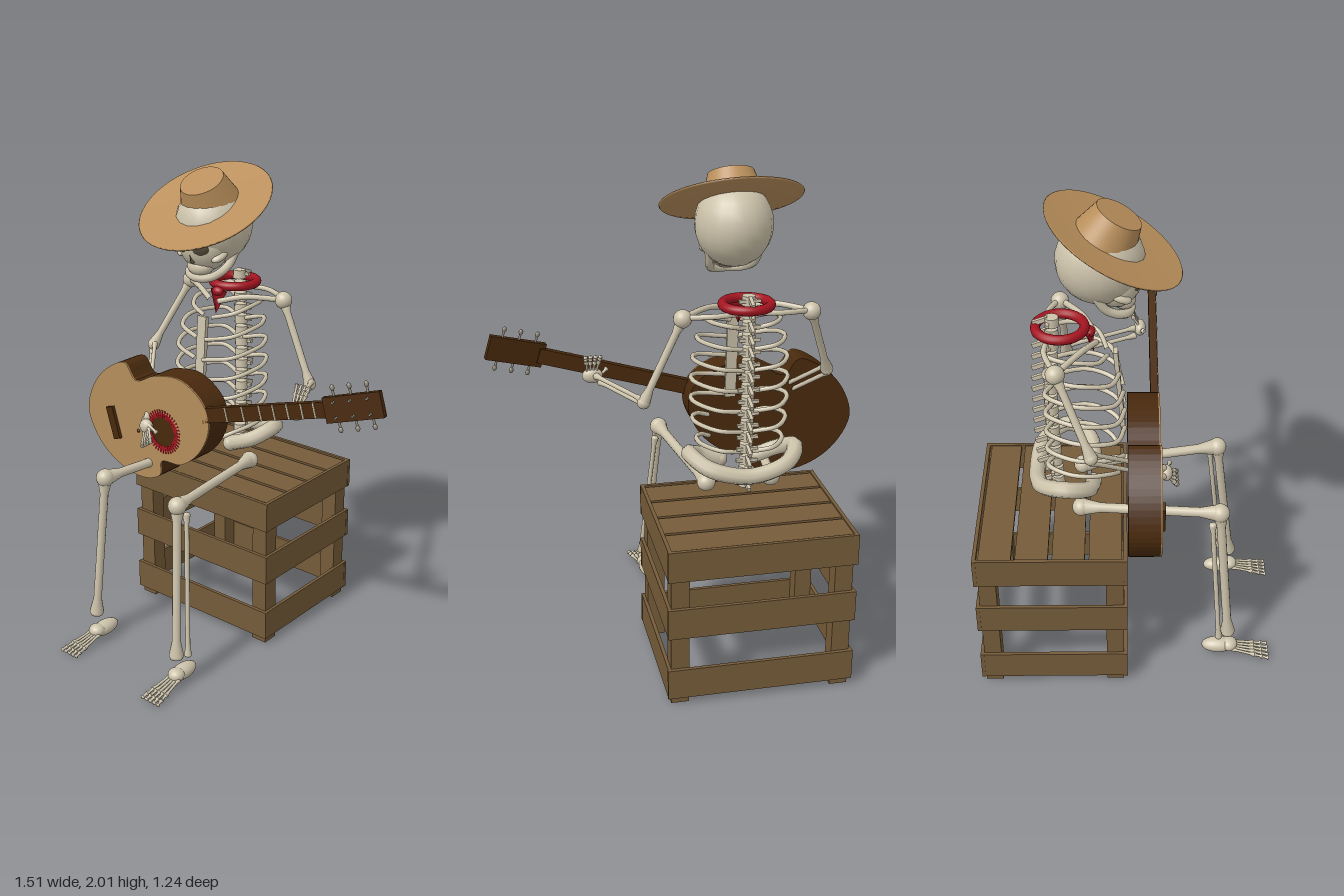
import * as THREE from 'three';

const mat = (name, color, opt = {}) => {
  const m = new THREE.MeshStandardMaterial({ color, ...opt });
  m.name = name;
  return m;
};
const V = (x, y, z) => new THREE.Vector3(x, y, z);
const CX = -0.235; // middle of the seated figure

export function createModel() {
  const bone = mat('bone', 0xcdc3ab), hollow = mat('hollow', 0x5e5340);
  const wood = mat('crateWood', 0x755b39);
  const straw = mat('straw', 0xb98f5b, { side: THREE.DoubleSide });
  const spruce = mat('guitarTop', 0xb58d5b), dark = mat('darkWood', 0x48290d);
  const red = mat('red', 0xa31420), metal = mat('metal', 0x8f887a);
  const root = new THREE.Group();
  root.name = 'guitarist';

  const group = (name, parent = root) => {
    const g = new THREE.Group();
    g.name = name;
    parent.add(g);
    return g;
  };
  const add = (parent, name, geo, m, pos = [0, 0, 0], rot = [0, 0, 0], scale = [1, 1, 1]) => {
    const o = new THREE.Mesh(geo, m);
    o.name = name;
    o.position.set(...pos);
    o.rotation.set(...rot);
    o.scale.set(...scale);
    parent.add(o);
    return o;
  };
  const box = (p, n, m, size, pos, rot) => add(p, n, new THREE.BoxGeometry(...size), m, pos, rot);
  const ball = (p, n, m, size, pos, rot) => add(p, n, new THREE.SphereGeometry(1, 20, 14), m, pos, rot, size);
  const tube = (p, n, m, pts, r, seg = 32) =>
    add(p, n, new THREE.TubeGeometry(new THREE.CatmullRomCurve3(pts), seg, r, 8), m);
  // Shaft with flared, rounded ends from a to b
  const shaft = (p, n, a, b, r, flare = 1.8) => {
    const A = V(...a), d = V(...b).sub(A), L = d.length(), f = Math.min(r * 4, L * 0.2);
    const prof = [[0.001, -r * flare * 0.5], [r * flare * 0.8, -r * 0.4], [r * flare, r * 0.4], [r, f],
      [r, L - f], [r * flare, L - r * 0.4], [r * flare * 0.8, L + r * 0.4], [0.001, L + r * flare * 0.5]];
    const o = add(p, n, new THREE.LatheGeometry(prof.map(q => new THREE.Vector2(...q)), 12), bone, a);
    o.quaternion.setFromUnitVectors(V(0, 1, 0), d.normalize());
    return o;
  };

  // Crate
  const crate = group('crate');
  crate.position.set(CX, 0, -0.32);
  for (const s of [-1, 1]) {
    for (const t of [-1, 1]) box(crate, 'post', wood, [0.072, 0.66, 0.07], [s * 0.325, 0.33, t * 0.252]);
    for (const y of [0.093, 0.363, 0.612]) {
      box(crate, 'longSlat', wood, [0.75, 0.128, 0.015], [0, y, s * 0.295]);
      box(crate, 'sideSlat', wood, [0.015, 0.128, 0.6], [s * 0.366, y, 0]);
    }
  }
  for (let i = 0; i < 4; i++) box(crate, 'topPlank', wood, [0.715, 0.018, 0.128], [0, 0.663, -0.216 + i * 0.144]);

  // Spine
  const torso = group('torso');
  for (let i = 0; i < 16; i++) {
    const y = 0.79 + i * 0.05, z = -0.295 - 0.015 * Math.sin((i / 15) * Math.PI);
    add(torso, 'vertebra', new THREE.CylinderGeometry(0.026, 0.028, 0.036, 12), bone, [CX, y, z]);
    box(torso, 'spinousProcess', bone, [0.014, 0.018, 0.06], [CX, y + 0.002, z - 0.042], [-0.35, 0, 0]);
    box(torso, 'transverseProcess', bone, [0.085, 0.012, 0.015], [CX, y, z - 0.015]);
  }
  // Ribs and breastbone
  for (let i = 0; i < 7; i++) {
    const y = 1.45 - i * 0.085, w = [0.14, 0.17, 0.185, 0.19, 0.19, 0.185, 0.17][i];
    const front = [-0.09, -0.045, -0.03, -0.025, -0.025, -0.03, -0.05][i], end = i > 4 ? 0.09 : 0.02;
    for (const s of [-1, 1]) {
      const zc = (front - 0.32) / 2;
      tube(torso, 'rib', bone, [V(CX + s * 0.015, y - 0.02, -0.305), V(CX + s * w * 0.6, y, -0.325),
        V(CX + s * w * 0.95, y, zc - 0.06), V(CX + s * w, y - 0.005, zc + 0.02),
        V(CX + s * w * 0.78, y - 0.025, front - 0.035), V(CX + s * end, y - 0.05, front)], 0.0095);
    }
  }
  box(torso, 'breastbone', bone, [0.045, 0.36, 0.018], [CX, 1.23, -0.045], [-0.08, 0, 0]);
  // Collarbones and shoulder blades
  for (const s of [-1, 1]) {
    tube(torso, 'collarbone', bone, [V(CX + s * 0.02, 1.46, -0.13), V(CX + s * 0.12, 1.485, -0.18),
      V(CX + s * 0.25, 1.478, -0.27)], 0.012);
    tube(torso, 'shoulderBar', bone, [V(CX + s * 0.02, 1.49, -0.3), V(CX + s * 0.13, 1.49, -0.32),
      V(CX + s * 0.25, 1.48, -0.28)], 0.011);
  }
  // Pelvis
  const hips = [[-0.07, 0.83, -0.15], [-0.17, 0.87, -0.17], [-0.215, 0.905, -0.25], [-0.15, 0.875, -0.35], [0, 0.845, -0.375],
    [0.15, 0.875, -0.35], [0.215, 0.905, -0.25], [0.17, 0.87, -0.17], [0.07, 0.83, -0.15]];
  tube(torso, 'pelvis', bone, hips.map(([x, y, z]) => V(CX + x, y, z)), 0.033, 64);
  for (const i of [0, 8]) ball(torso, 'pelvisEnd', bone, [0.033, 0.033, 0.033], [CX + hips[i][0], hips[i][1], hips[i][2]]);

  // Neckerchief
  const scarf = group('neckerchief');
  add(scarf, 'loop', new THREE.TorusGeometry(0.092, 0.019, 12, 36), red, [CX, 1.515, -0.265], [Math.PI / 2, 0, 0]);
  ball(scarf, 'knot', red, [0.028, 0.02, 0.022], [CX, 1.495, -0.155]);
  add(scarf, 'tail', new THREE.ConeGeometry(0.045, 0.1, 4), red, [CX, 1.45, -0.15], [Math.PI - 0.2, 0, 0], [1, 1, 0.4]);

  // Skull
  const head = group('skull');
  head.position.x = -0.218;
  ball(head, 'cranium', bone, [0.152, 0.165, 0.165], [0, 1.79, -0.112]);
  ball(head, 'face', bone, [0.108, 0.105, 0.085], [0, 1.71, -0.045], [0.4, 0, 0]);
  ball(head, 'upperJaw', bone, [0.062, 0.04, 0.05], [0, 1.635, -0.03], [0.4, 0, 0]);
  for (const s of [-1, 1]) {
    ball(head, 'eyeSocket', hollow, [0.034, 0.034, 0.014], [s * 0.048, 1.715, 0.026], [0.45, s * 0.4, 0]);
    ball(head, 'cheekbone', bone, [0.028, 0.018, 0.045], [s * 0.09, 1.685, -0.04], [0.4, 0, 0]);
  }
  add(head, 'noseHole', new THREE.ConeGeometry(0.018, 0.04, 3), hollow, [0, 1.672, 0.03], [0.45, 0, 0], [1, 1, 0.4]);
  tube(head, 'jaw', bone, [[-0.1, 1.69, -0.13], [-0.088, 1.63, -0.09], [-0.06, 1.595, -0.025], [0, 1.588, 0.0],
    [0.06, 1.595, -0.025], [0.088, 1.63, -0.09], [0.1, 1.69, -0.13]].map(p => V(...p)), 0.017);

  // Hat
  const hat = group('hat');
  hat.position.set(-0.22, 1.865, -0.065);
  hat.rotation.x = 0.495;
  const brim = [[0.08, -0.003], [0.2, -0.006], [0.277, 0.004], [0.281, 0.009], [0.277, 0.013], [0.2, 0.005], [0.08, 0.006]];
  add(hat, 'brim', new THREE.LatheGeometry(brim.map(p => new THREE.Vector2(...p)), 56), straw);
  add(hat, 'crown', new THREE.CylinderGeometry(0.09, 0.122, 0.105, 36), straw, [0, 0.052, -0.03]);

  // Hand: palm plus jointed fingers fanned along a side direction
  const digits = (p, name, start, end, side, n, r) => {
    for (let i = 0; i < n; i++) {
      const k = i - (n - 1) / 2, S = V(...side);
      const a = V(...start).addScaledVector(S, k * 0.6), b = V(...end).addScaledVector(S, k);
      const at = t => a.clone().lerp(b, t).toArray();
      shaft(p, name, at(0), at(0.6), r);
      shaft(p, name, at(0.62), at(0.82), r);
      shaft(p, name, at(0.84), at(1), r);
    }
  };
  // Arms
  const arm = (name, sh, el, wr) => {
    const g = group(name);
    ball(g, 'shoulder', bone, [0.036, 0.036, 0.036], sh);
    shaft(g, 'upperArm', sh, el, 0.015, 1.7);
    ball(g, 'elbow', bone, [0.026, 0.026, 0.026], el);
    for (const d of [-0.014, 0.014])
      shaft(g, 'forearm', [el[0] + d * 0.6, el[1] + d, el[2]], [wr[0] + d * 0.6, wr[1] + d, wr[2]], 0.009, 1.6);
    return g;
  };
  const la = arm('leftArm', [0.015, 1.475, -0.275], [0.165, 1.145, -0.265], [0.3, 1.145, 0.02]);
  ball(la, 'palm', bone, [0.042, 0.032, 0.025], [0.32, 1.155, 0.042]);
  digits(la, 'finger', [0.322, 1.17, 0.04], [0.322, 1.25, -0.005], [0.02, 0, 0], 4, 0.005);
  shaft(la, 'thumb', [0.29, 1.15, 0.045], [0.26, 1.175, 0.055], 0.006);
  const ra = arm('rightArm', [-0.49, 1.475, -0.275], [-0.605, 1.185, -0.15], [-0.405, 0.955, 0.125]);
  ball(ra, 'palm', bone, [0.032, 0.032, 0.025], [-0.39, 0.94, 0.135]);
  digits(ra, 'finger', [-0.38, 0.93, 0.145], [-0.35, 0.88, 0.18], [0.016, 0.01, 0], 4, 0.0055);
  shaft(ra, 'thumb', [-0.37, 0.95, 0.14], [-0.32, 0.935, 0.15], 0.006);

  // Legs
  const leg = (name, hip, kn, an, foot, toeX) => {
    const g = group(name);
    ball(g, 'hipJoint', bone, [0.038, 0.036, 0.036], hip);
    shaft(g, 'thigh', hip, kn, 0.02, 1.75);
    ball(g, 'knee', bone, [0.038, 0.038, 0.038], kn);
    shaft(g, 'shin', kn, an, 0.018, 1.75);
    const o = an[0] < CX ? -0.028 : 0.028;
    shaft(g, 'calfBone', [kn[0] + o * 0.8, kn[1] - 0.04, kn[2] - 0.03], [an[0] + o, an[1], an[2] - 0.04], 0.01, 1.6);
    ball(g, 'heel', bone, [0.036, 0.032, 0.072], [foot[0], 0.045, foot[1]], [0, toeX * 2, 0]);
    ball(g, 'instep', bone, [0.036, 0.028, 0.035], [foot[0] + toeX * 0.3, 0.05, foot[1] + 0.045]);
    digits(g, 'toe', [foot[0] + toeX * 0.4, 0.04, foot[1] + 0.06], [foot[0] + toeX, 0.011, foot[1] + 0.21], [0.021, 0, 0], 5, 0.0055);
  };
  leg('leftLeg', [-0.1, 0.752, -0.2], [-0.012, 0.77, 0.365], [0.04, 0.13, 0.445], [0.04, 0.405], 0.008);
  leg('rightLeg', [-0.37, 0.752, -0.2], [-0.43, 0.765, 0.35], [-0.462, 0.13, 0.405], [-0.452, 0.37], -0.008);

  // Guitar body
  const guitar = group('guitar');
  const outline = new THREE.CatmullRomCurve3([[-0.762, 0.915], [-0.725, 1.04], [-0.64, 1.135], [-0.53, 1.185], [-0.47, 1.12],
    [-0.36, 1.165], [-0.21, 1.178], [-0.09, 1.1], [-0.065, 1.0], [-0.12, 0.88], [-0.22, 0.8], [-0.33, 0.785],
    [-0.34, 0.72], [-0.44, 0.68], [-0.59, 0.71], [-0.7, 0.79]].map(([x, y]) => V(x, y, 0)), true);
  const shape = new THREE.Shape(outline.getPoints(80).map(p => new THREE.Vector2(p.x, p.y)));
  add(guitar, 'body', new THREE.ExtrudeGeometry(shape, { depth: 0.12, bevelEnabled: false }), dark, [0, 0, -0.015]);
  add(guitar, 'soundboard', new THREE.ExtrudeGeometry(shape, { depth: 0.006, bevelEnabled: false }), spruce, [0, 0, 0.105]);
  // Sound hole and toothed red ring
  const hole = [-0.318, 0.925, 0.112];
  add(guitar, 'soundHole', new THREE.CircleGeometry(0.068, 32), dark, hole);
  add(guitar, 'rosette', new THREE.RingGeometry(0.066, 0.084, 40), red, [hole[0], hole[1], 0.1125]);
  for (let i = 0; i < 40; i++) {
    const a = (i / 40) * Math.PI * 2;
    box(guitar, 'rosetteTooth', red, [0.034, 0.006, 0.002],
      [hole[0] + 0.081 * Math.cos(a), hole[1] + 0.081 * Math.sin(a), 0.1125], [0, 0, a]);
  }
  box(guitar, 'bridge', dark, [0.038, 0.145, 0.018], [-0.6, 0.897, 0.117], [0, 0, 0.29]);
  ball(guitar, 'pin', dark, [0.008, 0.008, 0.006], [-0.46, 0.892, 0.112]);

  // Neck, frets, headstock and tuning pegs, along +x before tilting
  const neck = group('neck', guitar);
  neck.position.set(-0.075, 1.06, 0.095);
  neck.rotation.z = 0.287;
  box(neck, 'neckBar', dark, [0.66, 0.062, 0.032], [0.3, 0, 0]);
  for (const x of [0.11, 0.2, 0.29, 0.36, 0.43, 0.5, 0.56]) box(neck, 'fret', bone, [0.006, 0.063, 0.004], [x, 0, 0.017]);
  const headstock = group('headstock', neck);
  headstock.position.set(0.61, 0, 0.012);
  headstock.rotation.y = 0.2;
  box(headstock, 'plate', dark, [0.235, 0.1, 0.026], [0.117, 0, 0]);
  for (const s of [-1, 1]) for (const x of [0.045, 0.115, 0.185]) {
    add(headstock, 'peg', new THREE.CylinderGeometry(0.005, 0.005, 0.04, 8), metal, [x, s * 0.062, 0]);
    ball(headstock, 'pegKnob', metal, [0.009, 0.012, 0.008], [x, s * 0.082, 0]);
    add(headstock, 'post', new THREE.CylinderGeometry(0.005, 0.005, 0.02, 8), metal, [x, s * 0.03, 0.018], [Math.PI / 2, 0, 0]);
  }
  return root;
}
